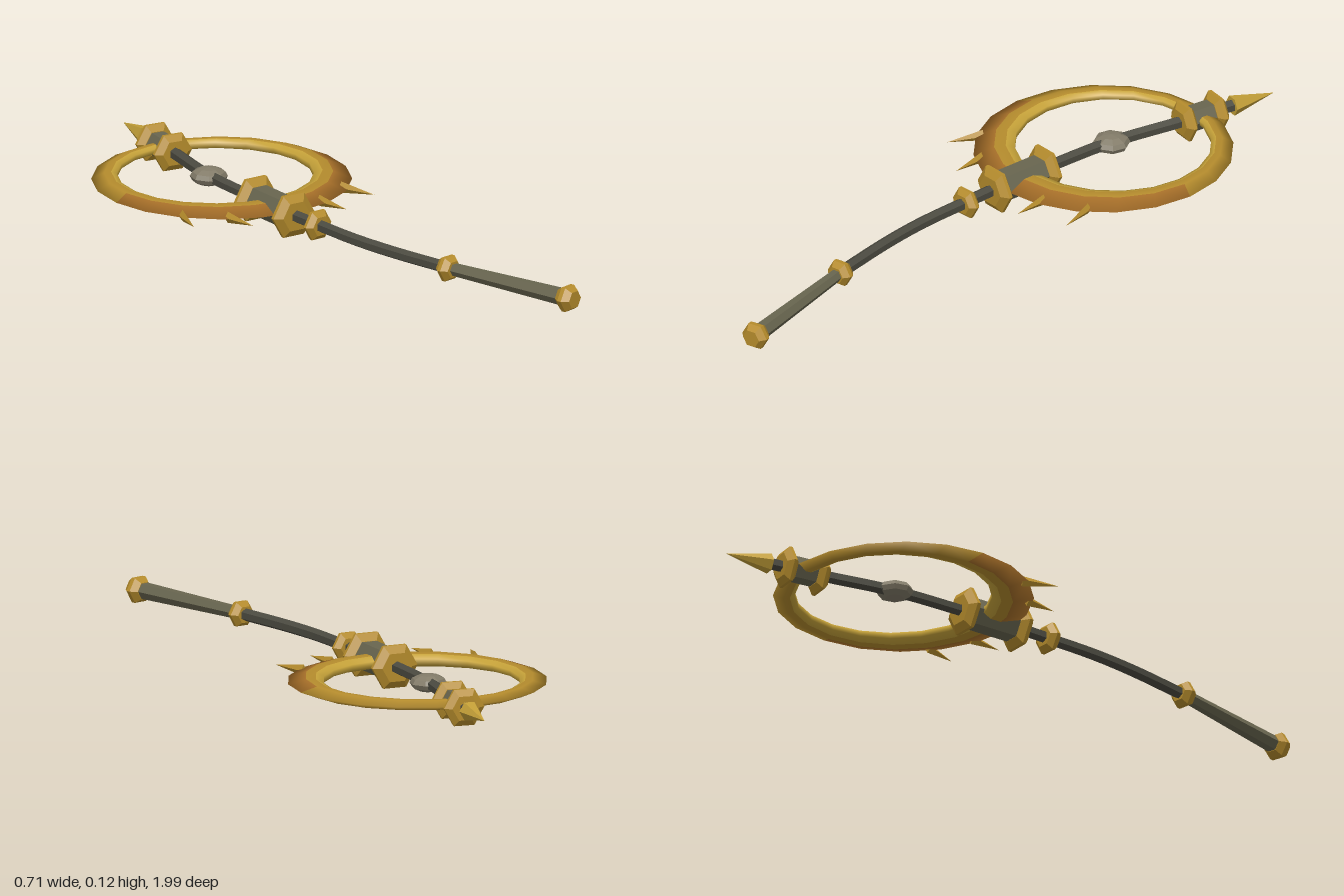
import * as THREE from 'three';

const MID = 0.063; // height of the plane the staff lies in
const V = (x, z) => new THREE.Vector3(x, MID, z);

function material(name, color, flatShading = true) {
  const m = new THREE.MeshStandardMaterial({ color, flatShading });
  m.name = name;
  return m;
}

export function createModel() {
  const group = new THREE.Group();
  const gold = material('gold', 0xb58c2c);
  const brightGold = material('bright gold', 0xc4a038);
  const iron = material('dark iron', 0x4b4a40);
  const steel = material('worn steel', 0x68654f);
  const stone = material('stone', 0x827b68);
  const ringCopper = material('ring copper', 0xa87029, false);
  const ringGold = material('ring gold', 0xb58c2d, false);
  const ringRim = material('ring rim gold', 0xc8a43a, false);

  const add = (name, geo, mat) => {
    const mesh = new THREE.Mesh(geo, mat);
    mesh.name = name;
    group.add(mesh);
    return mesh;
  };

  // Turn a part so its y axis runs along dir and one flat faces up
  const aim = (mesh, pos, dir) => {
    const y = dir.clone().normalize();
    const x = new THREE.Vector3(0, 1, 0);
    const z = x.clone().cross(y);
    mesh.quaternion.setFromRotationMatrix(new THREE.Matrix4().makeBasis(x, y, z));
    mesh.position.copy(pos);
    return mesh;
  };

  const rod = (name, a, b, ra, rb, mat, sides = 6) => {
    const d = b.clone().sub(a);
    const geo = new THREE.CylinderGeometry(rb, ra, d.length(), sides);
    return aim(add(name, geo, mat), a.clone().add(b).multiplyScalar(0.5), d);
  };

  // Six-sided collar swelling to a narrow rim
  const collar = (name, pos, dir, r, len) => {
    const h = len / 2;
    const profile = [[0, -h], [r * 0.66, -h], [r, -h * 0.25], [r, h * 0.25], [r * 0.66, h], [0, h]]
      .map(([x, y]) => new THREE.Vector2(x, y));
    aim(add(name, new THREE.LatheGeometry(profile, 6), gold), pos, dir);
  };

  // Curved shaft and thicker grip
  const pommel = V(-0.075, 0.97), gripTop = V(-0.119, 0.548);
  const neck = V(-0.102, 0.022), lowA = V(-0.088, -0.088), lowB = V(-0.056, -0.265);
  const heart = V(-0.007, -0.495), highA = V(0.073, -0.716), highB = V(0.103, -0.815);
  const tipBase = V(0.12, -0.865), tip = V(0.162, -0.995);
  const path = new THREE.CatmullRomCurve3([
    gripTop, V(-0.127, 0.34), V(-0.122, 0.185), neck, lowA, lowB, heart, highA, highB, tipBase,
  ]);
  add('shaft', new THREE.TubeGeometry(path, 28, 0.018, 6), iron);
  rod('grip', pommel, gripTop, 0.025, 0.018, steel);

  // Sleeves where the shaft crosses the ring
  rod('lowerSleeve', lowA, lowB, 0.045, 0.045, steel);
  rod('upperSleeve', highA, highB, 0.037, 0.037, steel);

  // Collars along the staff
  const lowAxis = lowB.clone().sub(lowA), highAxis = highB.clone().sub(highA);
  collar('pommel', pommel, pommel.clone().sub(gripTop), 0.04, 0.05);
  collar('gripCollar', gripTop, new THREE.Vector3(-0.01, 0, -1), 0.039, 0.045);
  collar('neckCollar', neck, new THREE.Vector3(0.1, 0, -1), 0.046, 0.038);
  collar('lowerCollarA', lowA, lowAxis, 0.069, 0.04);
  collar('lowerCollarB', lowB, lowAxis, 0.069, 0.04);
  collar('upperCollarA', highA, highAxis, 0.059, 0.036);
  collar('upperCollarB', highB, highAxis, 0.059, 0.036);

  // Spear point
  rod('spearPoint', tipBase, tip, 0.029, 0, brightGold);

  // Flattened stone at the heart of the ring
  const gem = add('heartStone', new THREE.SphereGeometry(0.053, 8, 6), stone);
  gem.scale.y = 0.48;
  gem.position.copy(heart);

  // Blade ring: sharp outer edge, thickest beside the lower sleeve
  const SIDES = 20;
  const section = [[0, 0], [0.5, 0.018], [0.78, 0.018], [1, 0.009], [1, -0.009], [0.78, -0.018], [0.5, -0.018]];
  const N = section.length;
  const positions = [];
  for (let i = 0; i < SIDES; i++) {
    const a = ((i + 0.5) / SIDES) * Math.PI * 2;
    const c = Math.cos(a), s = Math.sin(a);
    for (const [t, y] of section) {
      positions.push(
        THREE.MathUtils.lerp(0.361 * c, 0.008 + 0.274 * c, t),
        MID + y * (0.87 + 0.13 * s),
        THREE.MathUtils.lerp(-0.452 + 0.361 * s, -0.484 + 0.272 * s, t),
      );
    }
  }
  // Strips run blade, face, rim and inner wall, then mirrored below;
  // the blade turns to copper on the thick half of the ring
  const ringMaterials = [ringCopper, ringGold, ringRim];
  const stripMaterial = [0, 1, 2, 2, 2, 1, 0];
  const ring = new THREE.BufferGeometry();
  const index = [];
  stripMaterial.forEach((m, j) => {
    const k = (j + 1) % N;
    for (let i = 0; i < SIDES; i++) {
      const thick = i < SIDES / 2;
      ring.addGroup(index.length, 6, m === 0 && !thick ? 1 : m);
      const p = i * N, q = ((i + 1) % SIDES) * N;
      index.push(p + j, p + k, q + k, p + j, q + k, q + j);
    }
  });
  ring.setAttribute('position', new THREE.Float32BufferAttribute(positions, 3));
  ring.setIndex(index);
  ring.computeVertexNormals();
  add('bladeRing', ring, ringMaterials);

  // Thorns on the lower edge of the ring, upright in section
  [
    [-0.307, -0.3, -0.357, -0.206],
    [-0.23, -0.2, -0.235, -0.097],
    [0.054, -0.125, 0.05, -0.016],
    [0.18, -0.165, 0.196, -0.052],
  ].forEach(([ax, az, bx, bz], i) => {
    const thorn = rod('thorn' + (i + 1), V(ax, az), V(bx, bz), 0.011, 0, gold, 4);
    thorn.scale.x = 1.5;
  });

  return group;
}
